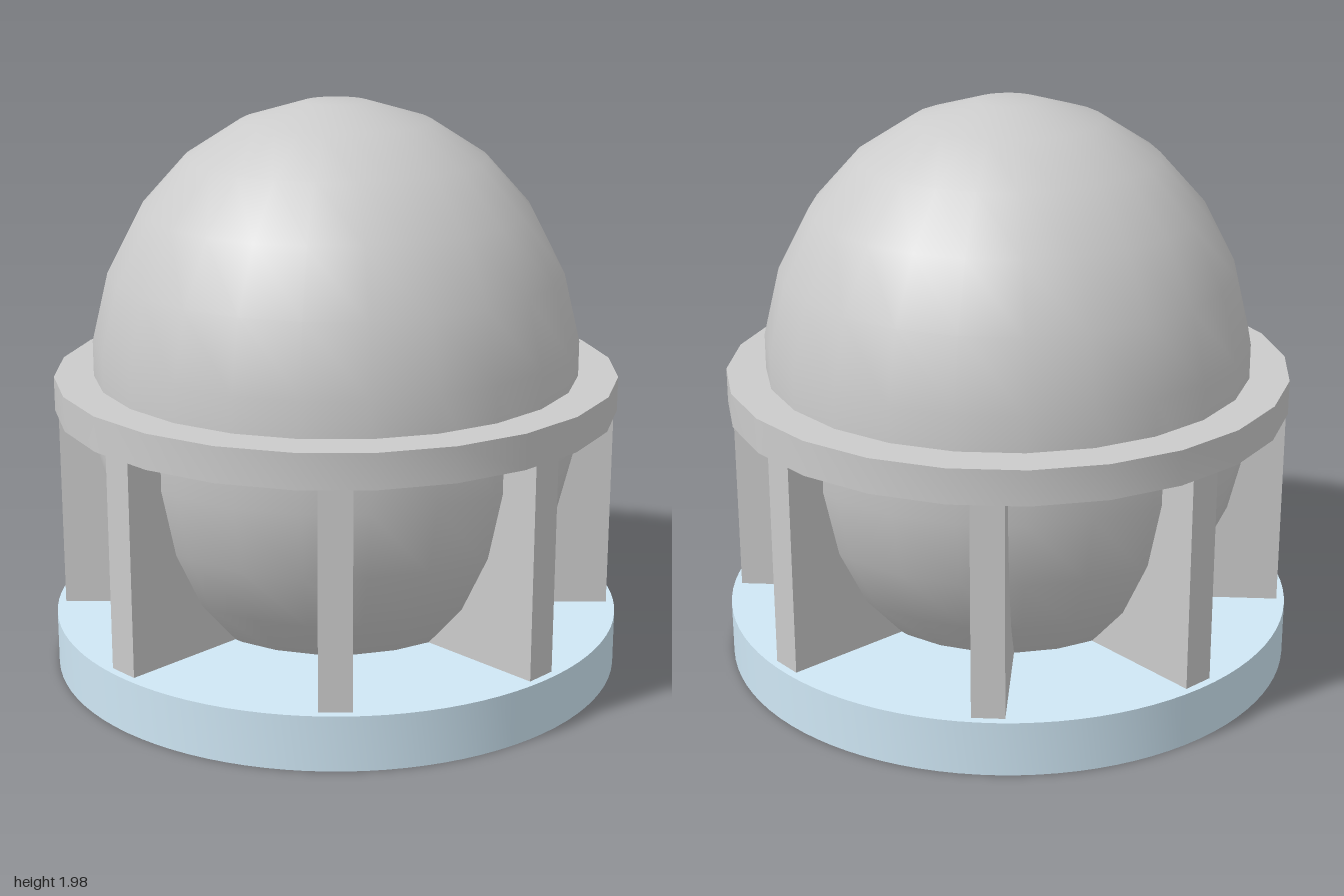
import * as THREE from 'three';
import { toCreasedNormals } from 'three/addons/utils/BufferGeometryUtils.js';

const SIDES = 24;
const HALF_STEP = Math.PI / SIDES;

// Ring with a rectangular section, smooth around and sharp at its rims
function ringGeometry(inner, outer, bottom, top, segments) {
  const profile = [[inner, bottom], [outer, bottom], [outer, top], [inner, top], [inner, bottom]]
    .map(([r, y]) => new THREE.Vector2(r, y));
  return toCreasedNormals(new THREE.LatheGeometry(profile, segments, Math.PI / segments), 0.6);
}

// Egg: two half ellipsoids joined by a short straight band, cut flat at the foot
function eggGeometry() {
  const radius = 0.85, height = 0.94, lowerY = 0.925, upperY = 1.05;
  const profile = [new THREE.Vector2(0, 0.175)];
  for (let i = 2; i < 12; i++) {
    const a = (i + 0.5) * Math.PI / 12 - Math.PI / 2;
    profile.push(new THREE.Vector2(radius * Math.cos(a), (i < 6 ? lowerY : upperY) + height * Math.sin(a)));
  }
  profile.push(new THREE.Vector2(0, upperY + height * Math.cos(HALF_STEP)));
  return toCreasedNormals(new THREE.LatheGeometry(profile, SIDES, HALF_STEP), 0.6);
}

export function createModel() {
  const model = new THREE.Group();
  const grey = new THREE.MeshStandardMaterial({ color: 0xcccccc });
  const blue = new THREE.MeshStandardMaterial({ color: 0xcfe7f5 });
  const add = (name, geometry, material, parent = model) => {
    const mesh = new THREE.Mesh(geometry, material);
    mesh.name = name;
    parent.add(mesh);
    return mesh;
  };

  // Round base with a central hole
  add('base', ringGeometry(0.16, 1, 0, 0.19, 96), blue);

  // Egg and the collar that holds it
  add('egg', eggGeometry(), grey);
  add('collar', ringGeometry(0.8, 0.98, 0.93, 1.05, SIDES), grey);

  // Eight radial fins; the diagonal ones sit slightly off centre
  const fins = new THREE.Group();
  fins.name = 'fins';
  model.add(fins);
  const finGeometry = new THREE.BoxGeometry(0.572, 0.755, 0.11);
  for (let i = 0; i < 8; i++) {
    const arm = new THREE.Group();
    arm.name = 'finArm';
    arm.rotation.y = -i * Math.PI / 4;
    fins.add(arm);
    add('fin', finGeometry, grey, arm).position.set(0.685, 0.5575, i % 2 ? 0.018 : 0);
  }
  return model;
}
